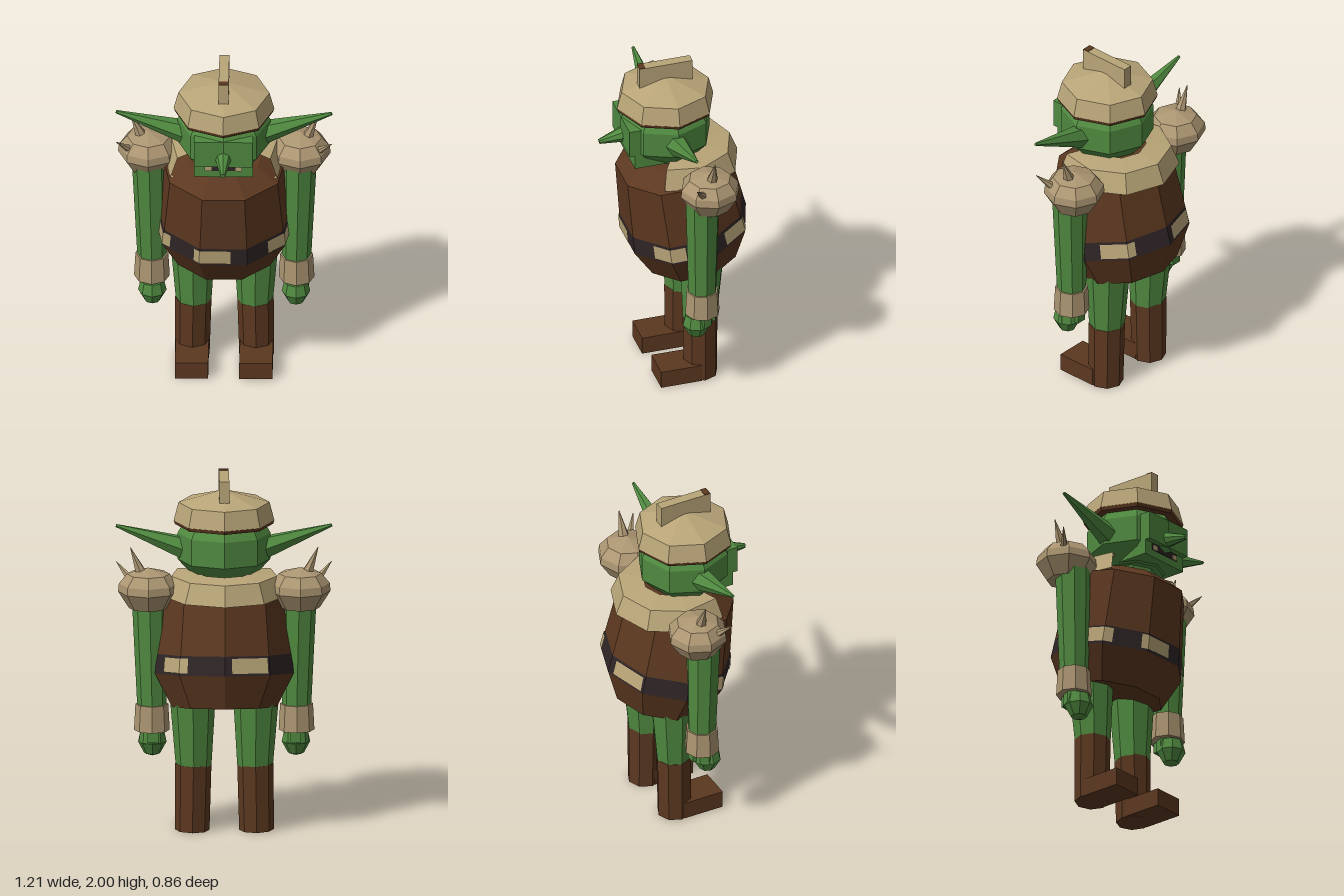
import * as THREE from 'three';

const flat = (name, color, side = THREE.FrontSide) => {
  const m = new THREE.MeshStandardMaterial({ color, flatShading: true, side });
  m.name = name;
  return m;
};
const rad = THREE.MathUtils.degToRad;
const V = (x, y, z) => new THREE.Vector3(x, y, z);

export function createModel() {
  const skin = flat('green skin', 0x508a40);
  const leather = flat('brown leather', 0x5c3820, THREE.DoubleSide);
  const strap = flat('dark strap', 0x2e2426, THREE.DoubleSide);
  const bone = flat('pale plate', 0xb9a578, THREE.DoubleSide);
  const cloth = flat('tan wrap', 0xac9672);

  const model = new THREE.Group();
  const add = (parent, name, geo, mat, x = 0, y = 0, z = 0) => {
    const m = new THREE.Mesh(geo, mat);
    m.name = name;
    m.position.set(x, y, z);
    parent.add(m);
    return m;
  };
  const box = (parent, name, mat, x0, x1, y0, y1, z0, z1) =>
    add(parent, name, new THREE.BoxGeometry(x1 - x0, y1 - y0, z1 - z0), mat,
      (x0 + x1) / 2, (y0 + y1) / 2, (z0 + z1) / 2);
  const lathe = (pts, seg, start = 0, len = 360) =>
    new THREE.LatheGeometry(pts.map(p => new THREE.Vector2(...p)), seg, rad(start), rad(len));
  // tapered tube from a to b
  const taper = (parent, name, mat, a, b, ra, rb, seg) => {
    const d = b.clone().sub(a);
    const m = add(parent, name, new THREE.CylinderGeometry(rb, ra, d.length(), seg), mat);
    m.position.copy(a).addScaledVector(d, 0.5);
    m.quaternion.setFromUnitVectors(V(0, 1, 0), d.normalize());
    return m;
  };

  // Barrel torso, nine-sided and leaning forward
  const torso = new THREE.Group();
  torso.name = 'torso';
  torso.position.set(0, 0.705, -0.1);
  torso.rotation.x = 0.167;
  torso.scale.x = 1.09;
  model.add(torso);
  add(torso, 'lowerTunic', lathe([[0, 0.02], [0.273, 0], [0.362, 0.19]], 9, 20), leather);
  add(torso, 'belt', lathe([[0.362, 0.19], [0.352, 0.3]], 9, 20), strap);
  add(torso, 'upperTunic', lathe([[0.352, 0.3], [0.32, 0.645], [0.2, 0.715], [0, 0.725]], 9, 20), leather);

  // Belt plates that bend round the torso corners
  const beltPoint = (deg, y) => {
    const face = Math.round(deg / 40) * 40;
    const r = (0.362 - (y - 0.19) * 0.09) * Math.cos(rad(20)) / Math.cos(rad(deg - face)) + 0.006;
    return [r * Math.sin(rad(deg)), y, r * Math.cos(rad(deg))];
  };
  for (const mid of [-10, 58, 131, -158, -68]) {
    const corners = [-180, -140, -100, -60, -20, 20, 60, 100, 140].filter(c => Math.abs(c - mid) < 16);
    const cols = [mid - 16, ...corners, mid + 16];
    const pos = [], idx = [];
    cols.forEach((d, i) => {
      pos.push(...beltPoint(d, 0.203), ...beltPoint(d, 0.288));
      const k = 2 * i;
      if (i) idx.push(k - 2, k, k + 1, k - 2, k + 1, k - 1);
    });
    const geo = new THREE.BufferGeometry();
    geo.setAttribute('position', new THREE.Float32BufferAttribute(pos, 3));
    geo.setIndex(idx);
    geo.computeVertexNormals();
    add(torso, 'beltPlate', geo, bone);
  }

  // Collar plate round the back of the neck
  add(model, 'collar', lathe([[0.26, 1.335], [0.345, 1.335], [0.3, 1.45], [0.16, 1.465]], 6, 60, 240),
    bone, 0, 0, -0.03);

  // Head
  const head = new THREE.Group();
  head.name = 'head';
  model.add(head);
  add(head, 'neck', new THREE.CylinderGeometry(0.15, 0.15, 0.2, 8), skin, 0, 1.41, 0.03);
  add(head, 'skull', lathe([[0, 1.42], [0.17, 1.42], [0.26, 1.52], [0.26, 1.67], [0.225, 1.73], [0, 1.73]], 8),
    skin, 0, 0, 0.048);
  box(head, 'face', skin, -0.165, 0.165, 1.515, 1.68, 0.05, 0.306);
  box(head, 'jaw', skin, -0.165, 0.165, 1.43, 1.515, 0.05, 0.275);
  box(head, 'mouth', strap, -0.105, 0.105, 1.473, 1.512, 0.272, 0.279);
  taper(head, 'nose', skin, V(0, 1.565, 0.29), V(0, 1.54, 0.435), 0.047, 0.014, 8);

  // Helmet with rim and crest
  add(head, 'helmetRim', lathe([[0.2, 1.72], [0.275, 1.72], [0.282, 1.742]], 8), leather, 0, 0, 0.048);
  add(head, 'helmet', lathe([[0.282, 1.74], [0.255, 1.845], [0, 1.918]], 8), bone, 0, 0, 0.048);
  box(head, 'crest', bone, -0.028, 0.028, 1.87, 1.997, -0.105, 0.205);
  box(head, 'crestPatch', leather, -0.028, 0.028, 1.994, 2, 0.17, 0.205);

  for (const s of [1, -1]) {
    const side = new THREE.Group();
    side.name = s > 0 ? 'leftSide' : 'rightSide';
    model.add(side);

    // Ear and tooth
    taper(side, 'ear', skin, V(s * 0.23, 1.587, 0.048), V(s * 0.604, 1.712, 0.048), 0.066, 0.009, 6);
    box(side, 'tooth', bone, s * 0.085 - 0.018, s * 0.085 + 0.018, 1.473, 1.5, 0.276, 0.283);

    // Arm, bracer and fist
    taper(side, 'arm', skin, V(s * 0.405, 0.7, -0.045), V(s * 0.42, 1.38, -0.042), 0.082, 0.1, 8);
    add(side, 'bracer', new THREE.CylinderGeometry(0.092, 0.1, 0.15, 8), cloth, s * 0.405, 0.635, -0.045);
    add(side, 'wrist', new THREE.CylinderGeometry(0.065, 0.07, 0.08, 8), skin, s * 0.405, 0.53, -0.035);
    add(side, 'fist', lathe([[0, 0.405], [0.045, 0.42], [0.08, 0.485], [0.065, 0.55], [0, 0.56]], 8),
      skin, s * 0.402, 0, -0.012);
    box(side, 'thumb', skin, s * 0.4 - 0.03, s * 0.4 + 0.03, 0.5, 0.56, -0.115, -0.06);

    // Spiked shoulder guard
    add(side, 'shoulderGuard',
      lathe([[0, 1.265], [0.11, 1.27], [0.17, 1.365], [0.165, 1.41], [0.12, 1.465], [0, 1.5]], 8),
      cloth, s * 0.425, 0, -0.083);
    taper(side, 'longSpike', cloth, V(s * 0.45, 1.43, -0.083), V(s * 0.525, 1.615, -0.083), 0.042, 0.002, 6);
    taper(side, 'shortSpike', cloth, V(s * 0.5, 1.39, -0.035), V(s * 0.602, 1.505, 0.045), 0.032, 0.002, 6);

    // Leg and boot
    taper(side, 'leg', skin, V(s * 0.172, 0.37, -0.103), V(s * 0.178, 0.82, -0.115), 0.1, 0.132, 8);
    taper(side, 'bootShaft', leather, V(s * 0.18, 0, -0.103), V(s * 0.174, 0.38, -0.103), 0.097, 0.102, 8);
    box(side, 'bootFoot', leather, s * 0.18 - 0.093, s * 0.18 + 0.093, 0, 0.103, -0.085, 0.155);
  }
  return model;
}
